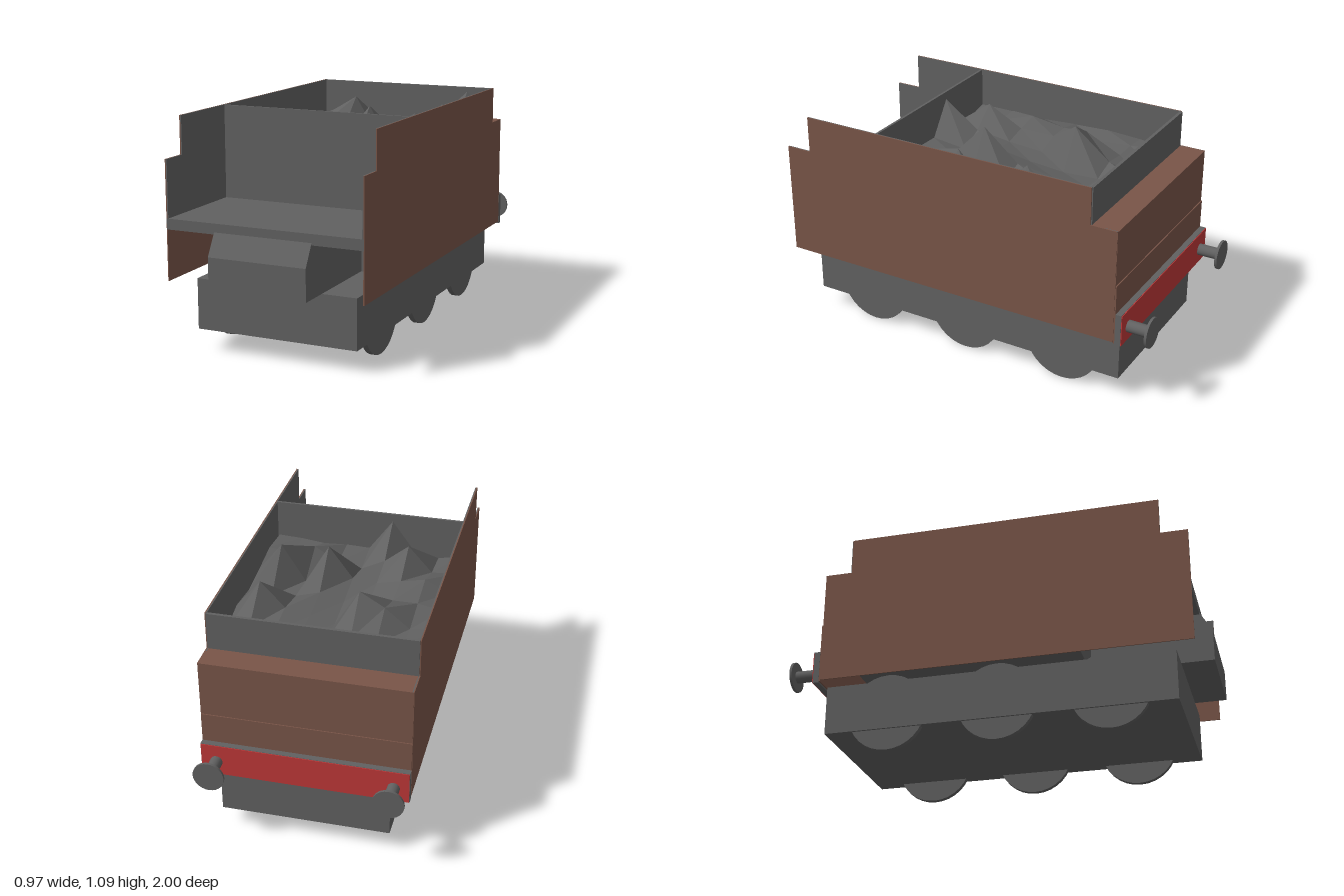
import * as THREE from 'three';

const grey = new THREE.MeshStandardMaterial({ color: 0x616161 });
grey.name = 'steel grey';
const brown = new THREE.MeshStandardMaterial({ color: 0x795548 });
brown.name = 'body brown';
const red = new THREE.MeshStandardMaterial({ color: 0xbe3838 });
red.name = 'beam red';
const coalGrey = new THREE.MeshStandardMaterial({
  color: 0x616161, flatShading: true, side: THREE.DoubleSide,
});
coalGrey.name = 'coal grey';

export function createModel() {
  const group = new THREE.Group();

  function add(name, geometry, material) {
    const mesh = new THREE.Mesh(geometry, material);
    mesh.name = name;
    group.add(mesh);
  }
  // Box given by its lower and upper limits on each axis
  function box(name, [x0, x1], [y0, y1], [z0, z1], material) {
    const g = new THREE.BoxGeometry(x1 - x0, y1 - y0, z1 - z0);
    g.translate((x0 + x1) / 2, (y0 + y1) / 2, (z0 + z1) / 2);
    add(name, g, material);
  }
  // Side profile of (z, y) points, extruded across x
  function profile(name, points, [x0, x1], material) {
    const shape = new THREE.Shape(points.map(([z, y]) => new THREE.Vector2(z, y)));
    const g = new THREE.ExtrudeGeometry(shape, { depth: x1 - x0, bevelEnabled: false });
    g.rotateY(-Math.PI / 2).translate(x1, 0, 0);
    add(name, g, material);
  }

  // Chassis and wheels
  box('chassis', [-0.39, 0.41], [0.11, 0.35], [-0.84, 0.845], grey);
  for (const z of [-0.535, 0, 0.535]) {
    for (const x of [-0.367, 0.378]) {
      const g = new THREE.CylinderGeometry(0.19, 0.19, 0.027, 32);
      g.rotateZ(Math.PI / 2).translate(x, 0.195, z);
      add('wheel', g, grey);
    }
  }

  // Stepped side panels: brown outside, grey lining above the floor
  const stepped = (bottom) => [
    [-0.84, bottom], [0.94, bottom], [0.94, 0.91], [0.81, 0.91],
    [0.81, 1.09], [-0.71, 1.09], [-0.71, 0.91], [-0.84, 0.91],
  ];
  for (const s of [-1, 1]) {
    const span = (a, b) => (s > 0 ? [a, b] : [-b, -a]);
    profile('sidePanel', stepped(0.35), span(0.481, 0.486), brown);
    profile('sideLining', stepped(0.64), span(0.476, 0.481), grey);
  }

  // Floor, bulkhead and rear wall
  box('floor', [-0.484, 0.484], [0.59, 0.64], [-0.84, 0.942], grey);
  box('bulkhead', [-0.48, 0.48], [0.35, 1.089], [0.41, 0.422], grey);
  box('rearWall', [-0.48, 0.48], [0.64, 1.089], [-0.715, -0.7], grey);
  box('rearLocker', [-0.484, 0.484], [0.64, 0.91], [-0.842, -0.715], brown);
  box('rearSkirt', [-0.484, 0.484], [0.345, 0.64], [-0.847, -0.84], brown);

  // Coal chute under the front of the floor
  profile('coalChute', [[0.42, 0.35], [1, 0.35], [1, 0.5], [0.942, 0.6], [0.42, 0.6]],
    [-0.24, 0.24], grey);

  // Rear beam with a pair of round bumpers
  box('rearBeam', [-0.485, 0.485], [0.338, 0.497], [-0.876, -0.847], grey);
  box('beamFace', [-0.483, 0.483], [0.34, 0.495], [-0.88, -0.876], red);
  for (const x of [-0.412, 0.412]) {
    const stem = new THREE.CylinderGeometry(0.029, 0.029, 0.12, 20);
    add('bumperStem', stem.rotateX(Math.PI / 2).translate(x, 0.41, -0.935), grey);
    const head = new THREE.CylinderGeometry(0.073, 0.073, 0.012, 28);
    add('bumperHead', head.rotateX(Math.PI / 2).translate(x, 0.41, -0.994), grey);
  }

  // Coal heap: a coarse height field with a few tall lumps, keyed by column and row
  const peaks = {
    '3,2': 1.06, '2,2': 0.99, '5,4': 1.07, '7,4': 1.05, '7,0': 1.07,
    '7,2': 1.05, '2,5': 1.02, '3,6': 1.05, '1,4': 0.95, '6,5': 0.96,
  };
  const coal = new THREE.PlaneGeometry(0.95, 1.095, 8, 6);
  coal.rotateX(-Math.PI / 2).translate(-0.005, 0, -0.1375);
  const pos = coal.attributes.position;
  let seed = 7;
  for (let k = 0; k < pos.count; k++) {
    seed = (seed * 16807) % 2147483647;
    const key = `${k % 9},${Math.floor(k / 9)}`;
    pos.setY(k, peaks[key] ?? 0.86 + 0.07 * (seed / 2147483647));
  }
  coal.computeVertexNormals();
  add('coal', coal, coalGrey);

  return group;
}
